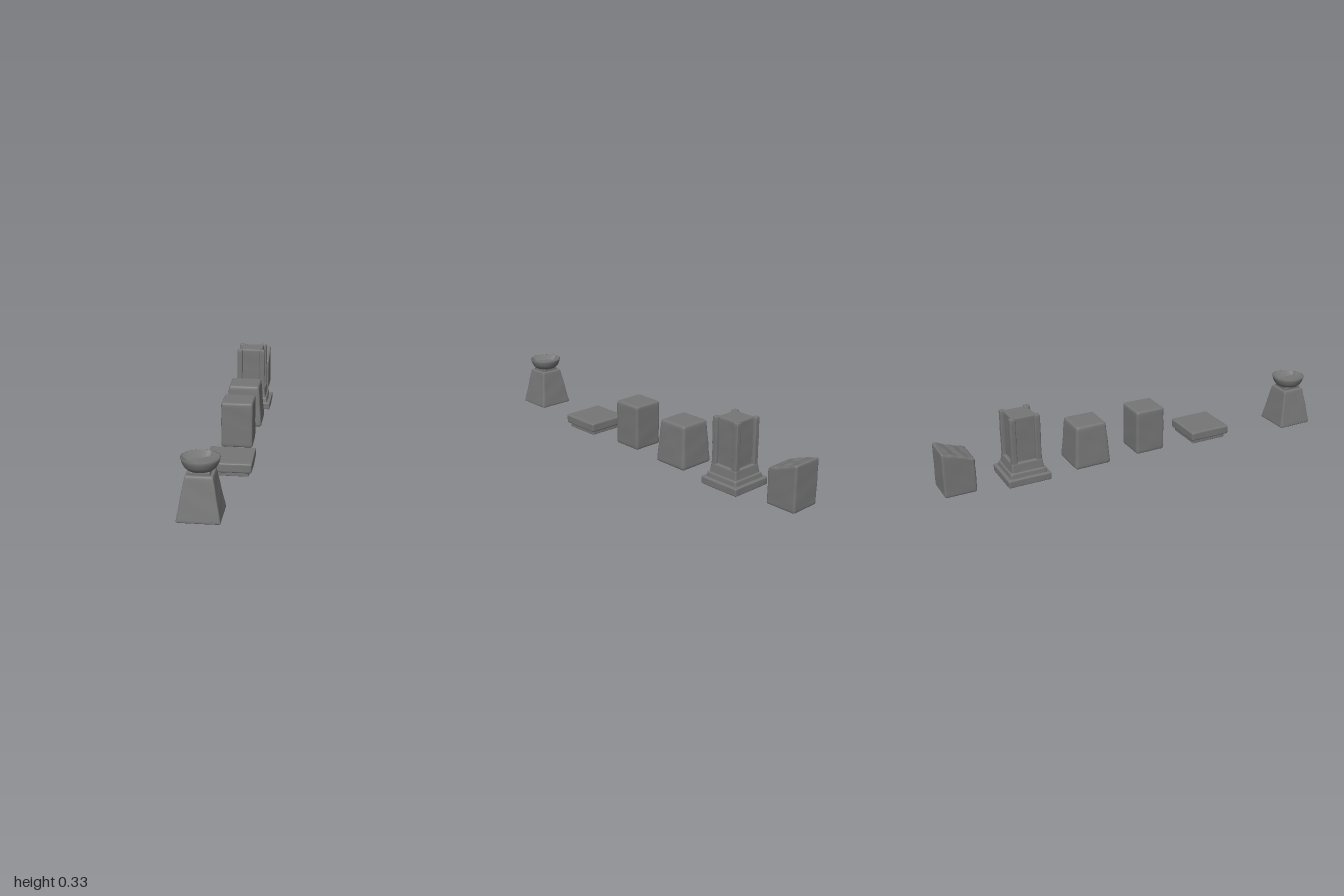
import * as THREE from 'three';
import { mergeVertices } from 'three/addons/utils/BufferGeometryUtils.js';

const stone = new THREE.MeshStandardMaterial({ color: 0x767676, side: THREE.DoubleSide });

// Smooth worn block standing on y = 0: rounded edges, optional taper, slight wear and a custom top
function wornBlock(w, h, d, { r = 0.008, top = 1, wear = 0.0007, topHeight = null, seg = 16 } = {}) {
  let g = new THREE.BoxGeometry(w, h, d, seg, seg, seg);
  g.deleteAttribute('normal');
  g.deleteAttribute('uv');
  g = mergeVertices(g);
  const half = new THREE.Vector3(w / 2, h / 2, d / 2);
  const inner = half.clone().subScalar(r);
  const outer = inner.clone().negate();
  const p = new THREE.Vector3(), c = new THREE.Vector3();
  // Concentrate the grid lines near the edges so that the rounding is smooth
  const ease = (v, s) => {
    const t = v / s;
    return s * Math.sin(t * Math.PI / 2) * 0.7 + v * 0.3;
  };
  const pos = g.attributes.position;
  for (let i = 0; i < pos.count; i++) {
    p.fromBufferAttribute(pos, i);
    p.set(ease(p.x, half.x), ease(p.y, half.y), ease(p.z, half.z));
    c.copy(p).clamp(outer, inner);
    p.sub(c).setLength(r).add(c);
    const t = p.y / h + 0.5;
    const k = 1 + (top - 1) * t;
    const n = wear * Math.sin(p.y * 50 + p.x * 23) * Math.cos(p.z * 31 + p.y * 17);
    let y = p.y + h / 2;
    if (topHeight) y = t * topHeight(p.x, p.z);
    pos.setXYZ(i, p.x * k + Math.sign(p.x) * n, y, p.z * k + Math.sign(p.z) * n);
  }
  g.computeVertexNormals();
  return g;
}

function add(parent, name, geometry, x = 0, y = 0, z = 0) {
  const mesh = new THREE.Mesh(geometry, stone);
  mesh.name = name;
  mesh.position.set(x, y, z);
  parent.add(mesh);
}

function group(parent, name, x, z) {
  const g = new THREE.Group();
  g.name = name;
  g.position.set(x, 0, z);
  parent.add(g);
  return g;
}

// Bowl filling: slope from the round rim down to a flat triangle pointing towards -x
function bowlFilling(radius, corner, depth) {
  const g = new THREE.CylinderGeometry(radius, radius, depth, 36, 1, true);
  const pos = g.attributes.position;
  const step = Math.PI * 2 / 3;
  for (let i = 0; i < pos.count; i++) {
    if (pos.getY(i) > 0) continue;
    const a = Math.atan2(pos.getZ(i), pos.getX(i)) + Math.PI * 2;
    // Distance from the centre to the triangle's side in this direction
    const off = ((a + step / 2) % step) - step / 2;
    const q = corner * 0.5 / Math.cos(off);
    pos.setXYZ(i, q * Math.cos(a), -depth / 2, q * Math.sin(a));
  }
  g.computeVertexNormals();
  return g;
}

function buildBrazier(parent) {
  const b = group(parent, 'brazier', -0.0395, 0.907);
  add(b, 'brazierPedestal', wornBlock(0.186, 0.192, 0.186, { r: 0.008, top: 0.62 }), 0, 0.005);
  add(b, 'brazierNeck', wornBlock(0.09, 0.026, 0.09, { r: 0.005, wear: 0, seg: 8 }), 0, 0.186);
  const profile = [[0, 0.206], [0.044, 0.207], [0.056, 0.212], [0.067, 0.222], [0.074, 0.234],
    [0.079, 0.248], [0.082, 0.26], [0.078, 0.261]].map(([x, y]) => new THREE.Vector2(x, y));
  add(b, 'brazierBowl', new THREE.LatheGeometry(profile, 36));
  const depth = 0.02, radius = 0.078, corner = 0.068;
  add(b, 'bowlSlope', bowlFilling(radius, corner, depth), 0, 0.261 - depth / 2);
  const floor = new THREE.CircleGeometry(corner, 3, Math.PI);
  floor.rotateX(-Math.PI / 2);
  add(b, 'bowlFloor', floor, 0, 0.261 - depth);
}

function buildSlab(parent) {
  const s = group(parent, 'slab', 0.021, 0.397);
  add(s, 'slabFoot', wornBlock(0.187, 0.03, 0.187, { r: 0.004, wear: 0.0004 }), 0, 0.005);
  add(s, 'slabTop', wornBlock(0.216, 0.046, 0.216, { r: 0.008 }), 0, 0.026);
}

function buildPillar(parent) {
  const p = group(parent, 'pillar', 0.024, -0.595);
  // Stepped plinth
  add(p, 'plinth', wornBlock(0.215, 0.038, 0.215, { r: 0.006 }));
  add(p, 'plinthStep', wornBlock(0.184, 0.03, 0.184, { r: 0.007, top: 0.95 }), 0, 0.032);
  add(p, 'pillarFoot', wornBlock(0.164, 0.052, 0.164, { r: 0.006, top: 0.92 }), 0, 0.053);
  // Shaft with four corner posts
  add(p, 'pillarCore', wornBlock(0.12, 0.247, 0.12, { r: 0.004 }), 0, 0.08);
  for (const sx of [-1, 1]) for (const sz of [-1, 1]) {
    add(p, 'cornerPost', wornBlock(0.028, 0.254, 0.028, { r: 0.006, seg: 12 }),
      sx * 0.061, 0.075, sz * 0.061);
  }
}

export function createModel() {
  const model = new THREE.Group();
  model.name = 'stoneSet';
  buildBrazier(model);
  buildSlab(model);
  add(model, 'straightBlock', wornBlock(0.154, 0.226, 0.154, { r: 0.011 }), 0.02, 0.009, 0.061);
  add(model, 'taperedBlock', wornBlock(0.188, 0.214, 0.188, { r: 0.013, top: 0.83 }), 0.02, 0.009, -0.263);
  buildPillar(model);
  // Broken block with a rough sloping top that rises to the back
  const brokenTop = (x, z) => {
    const t = 0.5 - z / 0.154;
    const rough = 0.005 * Math.sin(x * 45 + z * 25) * Math.cos(z * 80 - x * 22);
    return 0.169 + 0.055 * t + rough * Math.sin(Math.PI * t);
  };
  add(model, 'brokenBlock', wornBlock(0.154, 0.2, 0.154, { r: 0.01, topHeight: brokenTop, seg: 24 }),
    0.02, 0.011, -0.923);
  return model;
}
